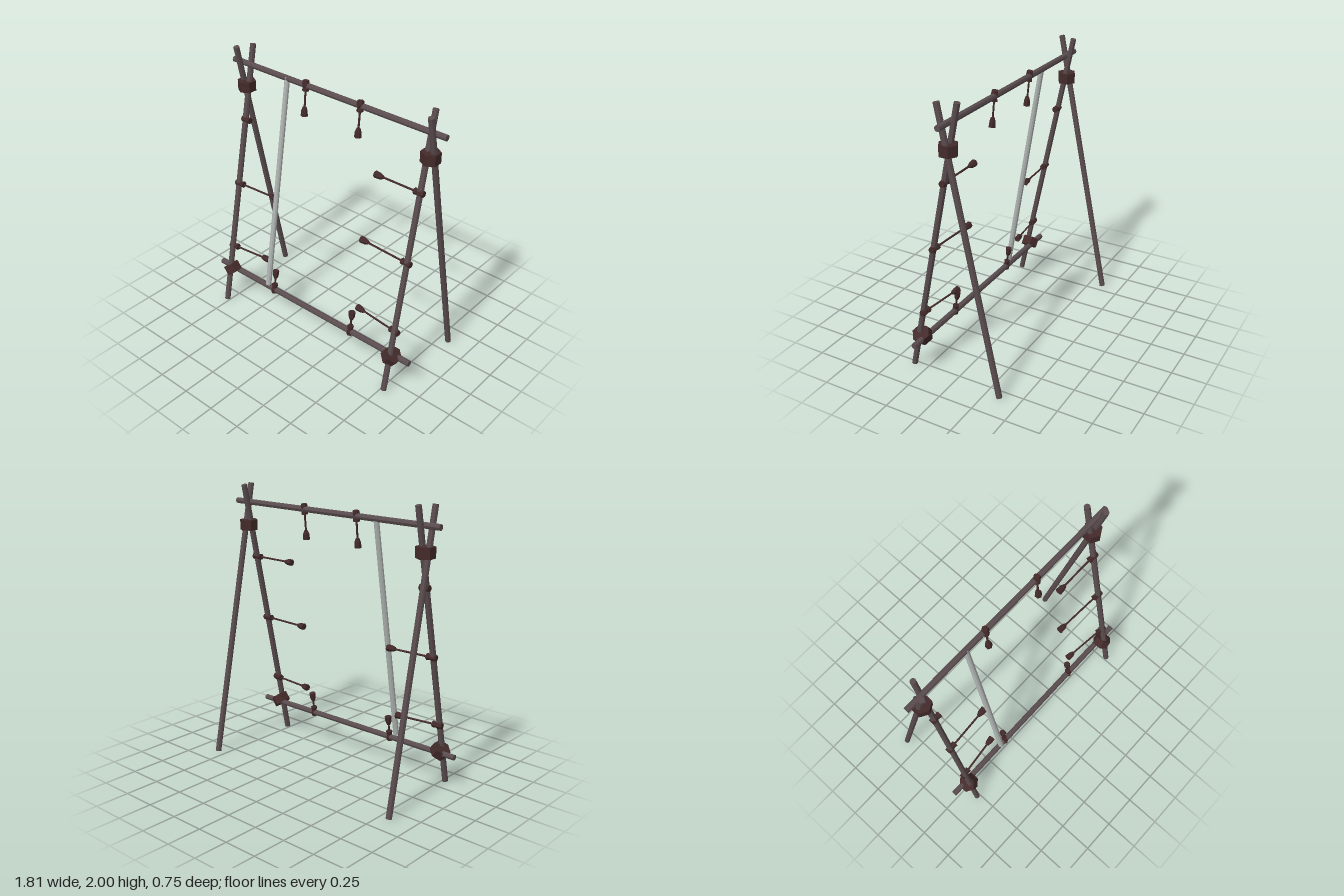
import * as THREE from 'three';

const V = (x, y, z) => new THREE.Vector3(x, y, z);
const UP = V(0, 1, 0);

export function createModel() {
  const group = new THREE.Group();
  const material = (name, color) => {
    const m = new THREE.MeshStandardMaterial({ color, flatShading: true });
    m.name = name;
    return m;
  };
  const wood = material('dark wood', 0x5a4c4f);
  const rope = material('brown rope', 0x442a2a);
  const silver = material('pale pole', 0xaeb3b1);

  const add = (name, geometry, mat) => {
    const mesh = new THREE.Mesh(geometry, mat);
    mesh.name = name;
    group.add(mesh);
    return mesh;
  };

  // straight rod between two points, r1 at the start and r2 at the end
  const rod = (name, a, b, r1, r2, sides, mat) => {
    const d = b.clone().sub(a);
    const mesh = add(name, new THREE.CylinderGeometry(r2, r1, d.length(), sides), mat);
    mesh.position.copy(a).add(b).multiplyScalar(0.5);
    mesh.quaternion.setFromUnitVectors(UP, d.normalize());
    return mesh;
  };

  // wrapped knot: faceted sleeve, flared at both ends, along a direction
  const knot = (name, at, dir) => {
    const profile = [[0, -0.037], [0.022, -0.037], [0.027, -0.005], [0.019, 0.008], [0.024, 0.037], [0, 0.037]];
    const mesh = add(name, new THREE.LatheGeometry(profile.map(p => new THREE.Vector2(...p)), 6), rope);
    mesh.position.copy(at);
    mesh.quaternion.setFromUnitVectors(UP, dir.clone().normalize());
  };

  // knot on the frame, thin cord, flared loose end
  const tie = (from, to) => {
    const dir = to.clone().sub(from).normalize();
    const neck = to.clone().addScaledVector(dir, -0.065);
    const belly = to.clone().addScaledVector(dir, -0.04);
    knot('tieKnot', from, dir);
    rod('tieCord', from, neck, 0.007, 0.007, 6, rope);
    rod('tieNeck', neck, belly, 0.013, 0.022, 6, rope);
    rod('tieEnd', belly, to, 0.022, 0.025, 6, rope);
  };

  // crossed legs and their lashings
  for (const s of [-1, 1]) {
    rod('frontLeg', V(s * 0.772, 0.005, 0.355), V(s * 0.772, 1.996, -0.058), 0.021, 0.021, 8, wood);
    const bx = s * 0.82;
    rod('backLeg', V(bx, 0.005, -0.355), V(bx, 1.996, 0.058), 0.021, 0.021, 8, wood);

    const top = add('topLashing', new THREE.CylinderGeometry(0.066, 0.066, 0.075, 6), rope);
    top.position.set(s * 0.795, 1.698, 0);

    const low = add('lowerLashing', new THREE.CylinderGeometry(0.066, 0.066, 0.068, 6), rope);
    low.position.set(s * 0.77, 0.26, 0.28);
    low.rotation.z = -s * 0.68;
  }

  // crossbars
  rod('topBar', V(-0.905, 1.866, 0), V(0.905, 1.866, 0), 0.021, 0.021, 8, wood);
  rod('bottomBar', V(-0.905, 0.252, 0.257), V(0.905, 0.252, 0.257), 0.021, 0.021, 8, wood);

  // leaning pale pole
  rod('leaningPole', V(-0.397, 0.28, 0.268), V(-0.397, 1.875, 0), 0.021, 0.019, 10, silver);

  // ties on the legs
  knot('bareKnot', V(-0.76, 1.455, 0.055), V(1, 0, 0));
  tie(V(-0.762, 0.966, 0.153), V(-0.41, 0.966, 0.132));
  tie(V(-0.762, 0.456, 0.25), V(-0.435, 0.456, 0.213));
  tie(V(0.765, 1.455, 0.055), V(0.415, 1.455, 0.055));
  tie(V(0.765, 0.966, 0.153), V(0.372, 0.966, 0.132));
  tie(V(0.765, 0.456, 0.25), V(0.415, 0.456, 0.213));

  // ties on the crossbars
  for (const x of [-0.227, 0.24]) tie(V(x, 1.866, 0.004), V(x, 1.65, 0.025));
  for (const x of [-0.345, 0.388]) tie(V(x, 0.262, 0.257), V(x, 0.413, 0.236));

  return group;
}
